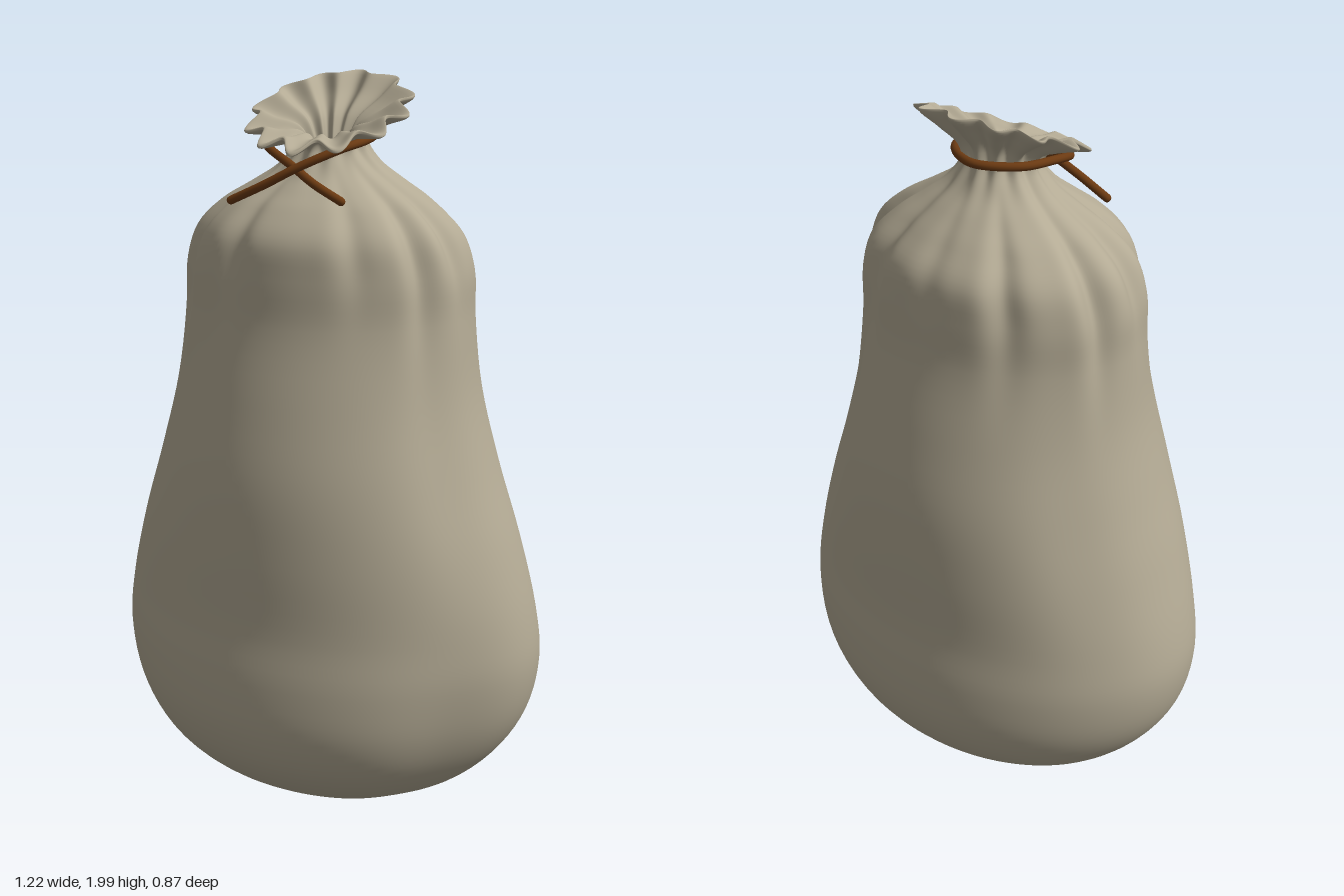
import * as THREE from 'three';

// Sack rings from base, up the outside to the rim, then down inside the mouth:
// [height, half width x, half depth z, flute size, forward tilt]
const RINGS = [
  [0.016, 0.002, 0.002, 0, 0], [0.004, 0.05, 0.04, 0, 0], [0.03, 0.22, 0.16, 0, 0], [0.09, 0.39, 0.29, 0, 0],
  [0.2, 0.515, 0.39, 0, 0], [0.32, 0.585, 0.43, 0, 0], [0.46, 0.612, 0.432, 0, 0],
  [0.6, 0.597, 0.417, 0, 0], [0.8, 0.543, 0.413, 0, 0], [1.0, 0.475, 0.4, 0, 0],
  [1.2, 0.422, 0.362, 0, 0], [1.4, 0.398, 0.318, 0, 0], [1.52, 0.39, 0.307, 0, 0],
  [1.61, 0.356, 0.292, 0, 0], [1.68, 0.285, 0.237, 0, 0], [1.73, 0.205, 0.182, 0.002, 0.03],
  [1.78, 0.132, 0.128, 0.005, 0.08], [1.83, 0.095, 0.102, 0.007, 0.15], [1.86, 0.105, 0.108, 0.009, 0.26],
  [1.888, 0.155, 0.15, 0.014, 0.37], [1.91, 0.204, 0.186, 0.019, 0.43], [1.917, 0.203, 0.185, 0.019, 0.43],
  [1.897, 0.15, 0.145, 0.014, 0.37], [1.872, 0.085, 0.085, 0.009, 0.25], [1.835, 0.06, 0.06, 0.007, 0.12],
  [1.79, 0.045, 0.045, 0.005, 0], [1.76, 0.002, 0.002, 0, 0],
];
// Gathered creases under the tie: [angle in degrees, depth, length downwards]
const CREASES = [
  [8, 0.05, 0.2], [30, 0.06, 0.3], [58, 0.035, 0.2], [112, 0.045, 0.22], [148, 0.06, 0.32],
  [172, 0.05, 0.2], [198, 0.07, 0.3], [238, 0.055, 0.26], [272, 0.025, 0.15], [305, 0.055, 0.28], [337, 0.07, 0.32],
];
// Soft dents in the cloth: [angle, height, angular spread, vertical spread, depth]
const DENTS = [
  [36, 0.32, 13, 0.2, 0.055], [325, 0.95, 10, 0.3, 0.045], [186, 0.75, 16, 0.16, 0.02],
  [28, 1.15, 9, 0.25, 0.025], [215, 0.95, 10, 0.25, 0.02], [146, 0.4, 14, 0.2, 0.015],
];

const gauss = (d, s) => Math.exp(-(d * d) / (2 * s * s));
const angleGap = (a, b) => ((a - b + 540) % 360) - 180;

function makeSackGeometry() {
  const shape = new THREE.CatmullRomCurve3(RINGS.map(r => new THREE.Vector3(r[1], r[0], r[2])));
  const cloth = new THREE.CatmullRomCurve3(RINGS.map(r => new THREE.Vector3(r[3], r[4], 0)), false, 'catmullrom', 0.5);
  const rows = (RINGS.length - 1) * 5, cols = 240;
  const positions = [], indices = [];
  for (let j = 0; j <= rows; j++) {
    const t = j / rows;
    const s = shape.getPoint(t), c = cloth.getPoint(t);
    const outside = j <= 17 * 5;
    for (let i = 0; i < cols; i++) {
      const a = (i / cols) * Math.PI * 2, deg = (i / cols) * 360;
      let k = 1;
      if (outside) {
        for (const [ca, depth, len] of CREASES) {
          const fade = s.y > 1.67 ? Math.max(0, 1 - (s.y - 1.67) / 0.2) : gauss(s.y - 1.67, len * 0.6);
          k -= depth * 1.5 * fade * gauss(angleGap(deg, ca), 4.5);
          k += depth * 0.35 * fade * gauss(angleGap(deg, ca + 11), 5);
        }
        for (const [da, y, sa, sy, depth] of DENTS) k -= depth * gauss(angleGap(deg, da), sa) * gauss(s.y - y, sy);
      }
      // Pointed flutes around the gathered mouth
      const wave = Math.cos(12 * a + 0.4 * Math.sin(3 * a)) * c.x;
      const x = Math.cos(a) * (Math.max(s.x, 0.001) * k + wave);
      const z = Math.sin(a) * (Math.max(s.z, 0.001) * k + wave);
      positions.push(x, Math.max(0, s.y - c.y * z - wave * 0.35), z);
    }
  }
  for (let j = 0; j < rows; j++) {
    for (let i = 0; i < cols; i++) {
      const n = (i + 1) % cols;
      const p = j * cols + i, q = j * cols + n, u = p + cols, v = q + cols;
      indices.push(p, u, q, q, u, v);
    }
  }
  const g = new THREE.BufferGeometry();
  g.setAttribute('position', new THREE.Float32BufferAttribute(positions, 3));
  g.setIndex(indices);
  g.computeVertexNormals();
  return g;
}

export function createModel() {
  const group = new THREE.Group();
  const clothMat = new THREE.MeshStandardMaterial({ color: 0xb3aa94 });
  clothMat.name = 'sackcloth';
  const cordMat = new THREE.MeshStandardMaterial({ color: 0x6b3a12 });
  cordMat.name = 'brown cord';

  const sack = new THREE.Mesh(makeSackGeometry(), clothMat);
  sack.name = 'sack';
  group.add(sack);

  // Cord looped round the neck, its two ends crossing at the front
  const path = [
    [-0.18, 1.695, 0.202], [-0.08, 1.742, 0.2], [0, 1.785, 0.182], [0.09, 1.828, 0.128],
    [0.125, 1.845, 0.04], [0.1, 1.852, -0.06], [0, 1.855, -0.118], [-0.1, 1.852, -0.06],
    [-0.135, 1.847, 0.03], [-0.13, 1.832, 0.105], [-0.02, 1.782, 0.16], [0.05, 1.748, 0.187], [0.125, 1.71, 0.188],
  ].map(p => new THREE.Vector3(...p));
  const tie = new THREE.Group();
  tie.name = 'tie';
  const cord = new THREE.Mesh(new THREE.TubeGeometry(new THREE.CatmullRomCurve3(path), 120, 0.011, 12), cordMat);
  cord.name = 'cord';
  tie.add(cord);
  for (const end of [path[0], path[path.length - 1]]) {
    const tip = new THREE.Mesh(new THREE.SphereGeometry(0.011, 12, 8), cordMat);
    tip.name = 'cordEnd';
    tip.position.copy(end);
    tie.add(tip);
  }
  group.add(tie);
  return group;
}
